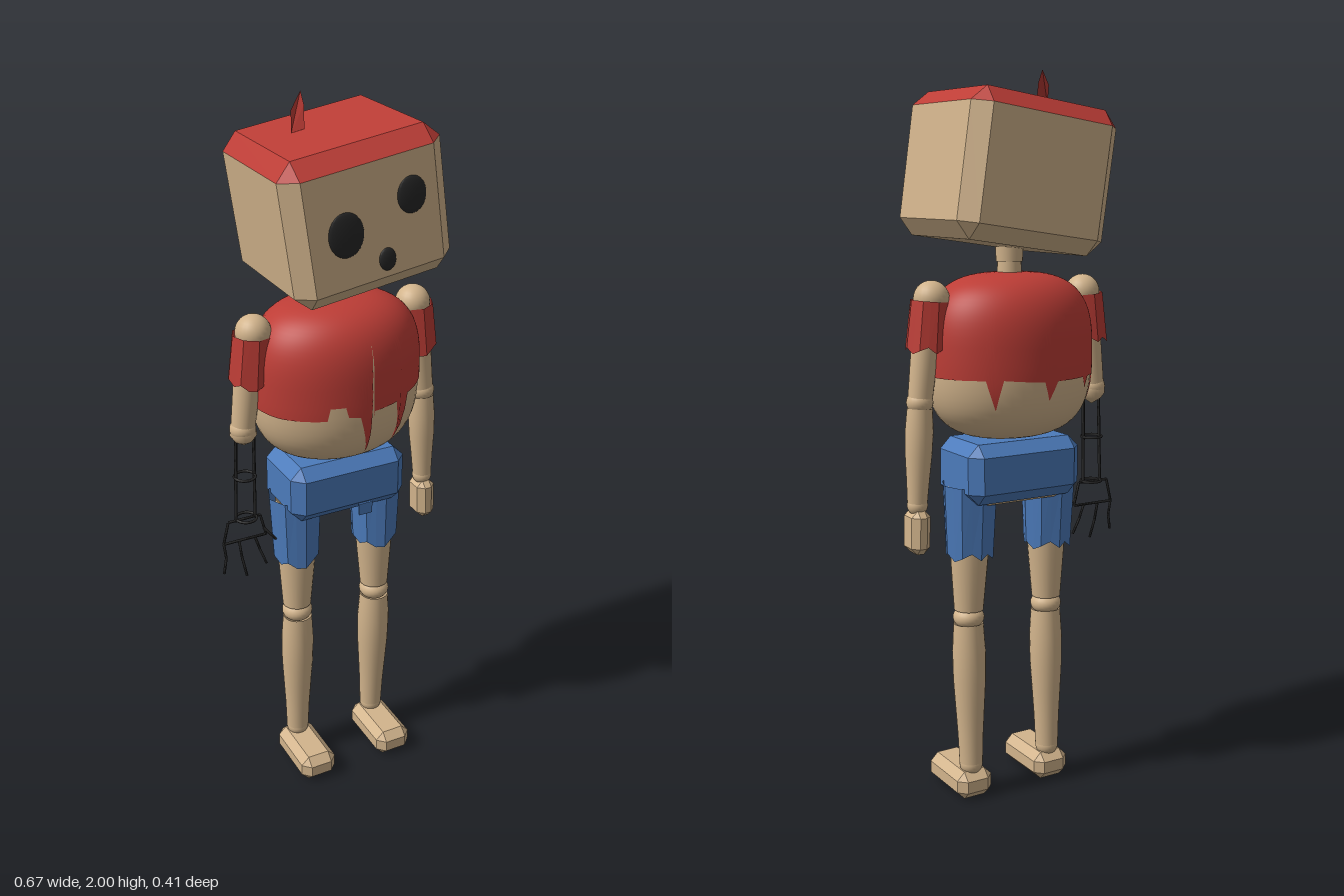
import * as THREE from 'three';
import { ConvexGeometry } from 'three/addons/geometries/ConvexGeometry.js';
import { ParametricGeometry } from 'three/addons/geometries/ParametricGeometry.js';

const mat = (name, color, side = THREE.FrontSide) => {
  const m = new THREE.MeshStandardMaterial({ color, side });
  m.name = name;
  return m;
};
const V = (x, y, z) => new THREE.Vector3(x, y, z);
const CX = 0.018, CZ = -0.02; // body axis

export function createModel() {
  const root = new THREE.Group();
  const tan = mat('tan skin', 0xd2b48c, THREE.DoubleSide);
  const red = mat('red cloth', 0xbd3d36, THREE.DoubleSide);
  const blue = mat('blue denim', 0x4c7bbb, THREE.DoubleSide);
  const black = mat('black', 0x262626);

  const add = (name, geo, material, pos = V(0, 0, 0), parent = root) => {
    const m = new THREE.Mesh(geo, material);
    m.name = name;
    m.position.copy(pos);
    parent.add(m);
    return m;
  };

  // box with bevelled edges and corners
  const bevelBox = (w, h, d, c) => {
    const pts = [], half = [w / 2, h / 2, d / 2];
    for (const sx of [-1, 1]) for (const sy of [-1, 1]) for (const sz of [-1, 1])
      for (let axis = 0; axis < 3; axis++) {
        const p = half.map((v, i) => (i === axis ? v : v - c));
        pts.push(V(p[0] * sx, p[1] * sy, p[2] * sz));
      }
    return new ConvexGeometry(pts);
  };

  // place a mesh whose local y axis runs from a to b
  const along = (mesh, a, b) => {
    mesh.position.copy(a);
    mesh.quaternion.setFromUnitVectors(V(0, 1, 0), b.clone().sub(a).normalize());
    return mesh;
  };

  // round limb with radii spread evenly from a to b
  const limb = (name, a, b, radii, material = tan, sides = 24) => {
    const len = a.distanceTo(b);
    const pts = radii.map((r, i) => new THREE.Vector2(r, (len * i) / (radii.length - 1)));
    return along(add(name, new THREE.LatheGeometry(pts, sides), material), a, b);
  };

  const ball = (name, p, r, sy = 1) => {
    const m = add(name, new THREE.SphereGeometry(r, 24, 16), tan, p);
    m.scale.y = sy;
    return m;
  };

  // pleated cloth tube with a ragged lower edge, from bottom a to top b
  const raggedTube = (name, a, b, rBottom, rTop, rag, material) => {
    const len = a.distanceTo(b);
    const g = new THREE.CylinderGeometry(rTop, rBottom, len, 16, 1, true);
    const p = g.attributes.position;
    for (let i = 0; i < p.count; i++) {
      const j = (i % 17) % 16, k = j % 2 ? 0.93 : 1;
      const lift = i > 16 ? (rag * ((j * 7) % 5)) / 4 : 0;
      p.setXYZ(i, p.getX(i) * k, p.getY(i) + len / 2 + lift, p.getZ(i) * k);
    }
    const flat = g.toNonIndexed();
    flat.computeVertexNormals();
    along(add(name, flat, material), a, b);
  };

  // ---- head: tilted bevelled box with red upper faces
  const head = new THREE.Group();
  head.name = 'head';
  head.position.set(0.016, 1.735, -0.005);
  head.rotation.z = 0.145;
  root.add(head);
  const hg = bevelBox(0.443, 0.381, 0.4, 0.042);
  const hn = hg.attributes.normal;
  for (let i = 0; i < hn.count; i += 3) hg.addGroup(i, 3, hn.getY(i) > 0.3 ? 1 : 0);
  add('headBox', hg, [tan, red], undefined, head);

  // eyes and mouth: [x, y, half width, half height] in model space
  for (const [name, x, y, w, h] of [
    ['rightEye', -0.062, 1.713, 0.049, 0.058],
    ['leftEye', 0.116, 1.79, 0.041, 0.048],
    ['mouth', 0.053, 1.636, 0.024, 0.03],
  ]) {
    const p = V(x - 0.016, y - 1.735, 0.199).applyAxisAngle(V(0, 0, 1), -0.145);
    add(name, new THREE.SphereGeometry(1, 20, 12), black, p, head).scale.set(w, h, 0.009);
  }

  // torn tuft on top of the head
  const tuft = [V(-0.105, 1.915, -0.014), V(-0.095, 1.965, -0.036), V(-0.048, 2, -0.078),
    V(-0.05, 1.97, -0.055), V(-0.066, 1.92, -0.02)];
  const tg = new THREE.BufferGeometry().setFromPoints(
    [1, 2, 3].flatMap((i) => [tuft[0], tuft[i + 1], tuft[i]]));
  tg.computeVertexNormals();
  add('tuft', tg, red);

  // ---- neck
  limb('neck', V(CX, 1.45, CZ), V(CX, 1.51, CZ), [0.034, 0.032]);
  add('neckCap', new THREE.CylinderGeometry(0.038, 0.036, 0.04, 24), tan, V(CX, 1.525, CZ));

  // ---- torso: squarish egg, and a shirt over it with a torn hem
  const H = 0.2225, TOP = Math.PI / 2 - 0.001;
  const egg = (theta, phi, s, out) => {
    const r = Math.cos(phi) ** (2 / 3), y = Math.sign(phi) * Math.abs(Math.sin(phi)) ** (2 / 3);
    out.set(0.239 * s * r * Math.sin(theta), H * s * y, 0.182 * s * r * Math.cos(theta));
  };
  const hem = [[0, 1.14], [4, 1.08], [6, 1.21], [24, 1.215], [30, 1.09], [36, 1.225], [60, 1.23],
    [90, 1.21], [140, 1.21], [146, 1.13], [152, 1.21], [180, 1.2], [184, 1.15], [190, 1.2],
    [216, 1.2], [220, 1.17], [224, 1.2], [244, 1.2], [250, 1.1], [256, 1.21], [300, 1.2],
    [334, 1.2], [336, 1.235], [346, 1.235], [348, 1.205], [356, 1.2], [360, 1.14]];
  const hemAngle = (deg) => {
    const i = Math.max(1, hem.findIndex((h) => h[0] >= deg - 1e-6));
    const [a, ya] = hem[i - 1], [b, yb] = hem[i];
    const t = (ya + ((yb - ya) * (deg - a)) / (b - a) - 1.2525) / H;
    return Math.sign(t) * Math.asin(Math.abs(t) ** 1.5);
  };
  const torsoAt = V(CX, 1.2525, CZ);
  add('torso', new ParametricGeometry((u, v, out) =>
    egg(u * Math.PI * 2, (v * 2 - 1) * TOP, 1, out), 48, 32), tan, torsoAt);
  add('shirt', new ParametricGeometry((u, v, out) => {
    const low = hemAngle(Math.min(u * 360, 360));
    egg(u * Math.PI * 2, low + (TOP - low) * v, 1.012, out);
  }, 180, 20), red, torsoAt);

  // ---- hips and shorts
  add('hips', bevelBox(0.27, 0.12, 0.18, 0.025), tan, V(CX, 0.917, CZ));
  add('shortsWaist', bevelBox(0.348, 0.165, 0.22, 0.032), blue, V(CX, 0.947, CZ));
  add('shortsTab', new THREE.BoxGeometry(0.04, 0.035, 0.008), blue, V(0.06, 0.872, 0.085));

  // ---- both sides: shoulders, sleeves, upper arms, legs, feet
  for (const [side, s] of [['left', 1], ['right', -1]]) {
    const at = (x, y, z = CZ) => V(CX + s * x, y, z);
    ball(side + 'Shoulder', at(0.237, 1.415), 0.048);
    raggedTube(side + 'Sleeve', at(0.254, 1.272), at(0.242, 1.41), 0.058, 0.053, 0.02, red);
    limb(side + 'UpperArm', at(0.274, 1.15), at(0.245, 1.4), [0.033, 0.036, 0.038]);
    ball(side + 'Elbow', at(0.275, 1.145), 0.036, 0.9);

    raggedTube(side + 'ShortsLeg', at(0.126, 0.7, -0.015), at(0.126, 0.91), 0.068, 0.077, 0.025, blue);
    limb(side + 'Thigh', at(0.127, 0.55, -0.012), at(0.122, 0.9, -0.015), [0.041, 0.05, 0.058, 0.06]);
    ball(side + 'Knee', at(0.127, 0.527, -0.011), 0.044, 0.75);
    limb(side + 'Shin', at(0.127, 0.1, -0.02), at(0.127, 0.51, -0.01),
      [0.033, 0.036, 0.041, 0.046, 0.047, 0.042]);
    ball(side + 'Ankle', at(0.127, 0.095), 0.033);
    add(side + 'Foot', bevelBox(0.11, 0.08, 0.206, 0.023), tan, at(0.127, 0.04, 0.042));
  }

  // ---- left forearm and hand
  limb('leftForearm', V(0.304, 0.875, CZ), V(0.293, 1.13, CZ), [0.027, 0.031, 0.036, 0.038, 0.034]);
  ball('leftWrist', V(0.304, 0.868, CZ), 0.028);
  add('leftHand', bevelBox(0.056, 0.12, 0.08, 0.018), tan, V(0.306, 0.797, CZ)).rotation.z = 0.03;

  // ---- right arm stump with a bare wire forearm and hand
  limb('stumpEnd', V(-0.255, 1.095, CZ), V(-0.256, 1.145, CZ), [0, 0.026, 0.037, 0.034]);
  const wire = (name, a, b, r = 0.0045) => limb(name, a, b, [r, r], black, 6);
  for (const x of [-0.026, 0.026])
    wire('forearmWire', V(-0.258 + x * 1.1, 0.865, CZ), V(-0.252 + x, 1.14, CZ));
  for (const y of [1.0, 0.87])
    add('wireRing', new THREE.TorusGeometry(0.029, 0.004, 6, 20), black, V(-0.256, y, CZ))
      .rotation.x = Math.PI / 2;
  const flat = ([x, y, z = CZ]) => V(x, y, z);
  for (const [a, b] of [
    [[-0.31, 0.868], [-0.214, 0.868]], [[-0.326, 0.802], [-0.198, 0.802]], // palm bars
    [[-0.31, 0.868], [-0.326, 0.802]], [[-0.214, 0.868], [-0.198, 0.802]],
    [[-0.326, 0.802], [-0.322, 0.76, -0.015]], [[-0.322, 0.76, -0.015], [-0.333, 0.715, -0.008]],
    [[-0.28, 0.802], [-0.276, 0.75, -0.012]], [[-0.276, 0.75, -0.012], [-0.268, 0.695, 0]], // fingers
    [[-0.232, 0.802], [-0.22, 0.76, -0.015]], [[-0.22, 0.76, -0.015], [-0.205, 0.715, -0.005]],
    [[-0.206, 0.825], [-0.174, 0.786, -0.005]],
  ]) wire('handWire', flat(a), flat(b), 0.0038);

  return root;
}
